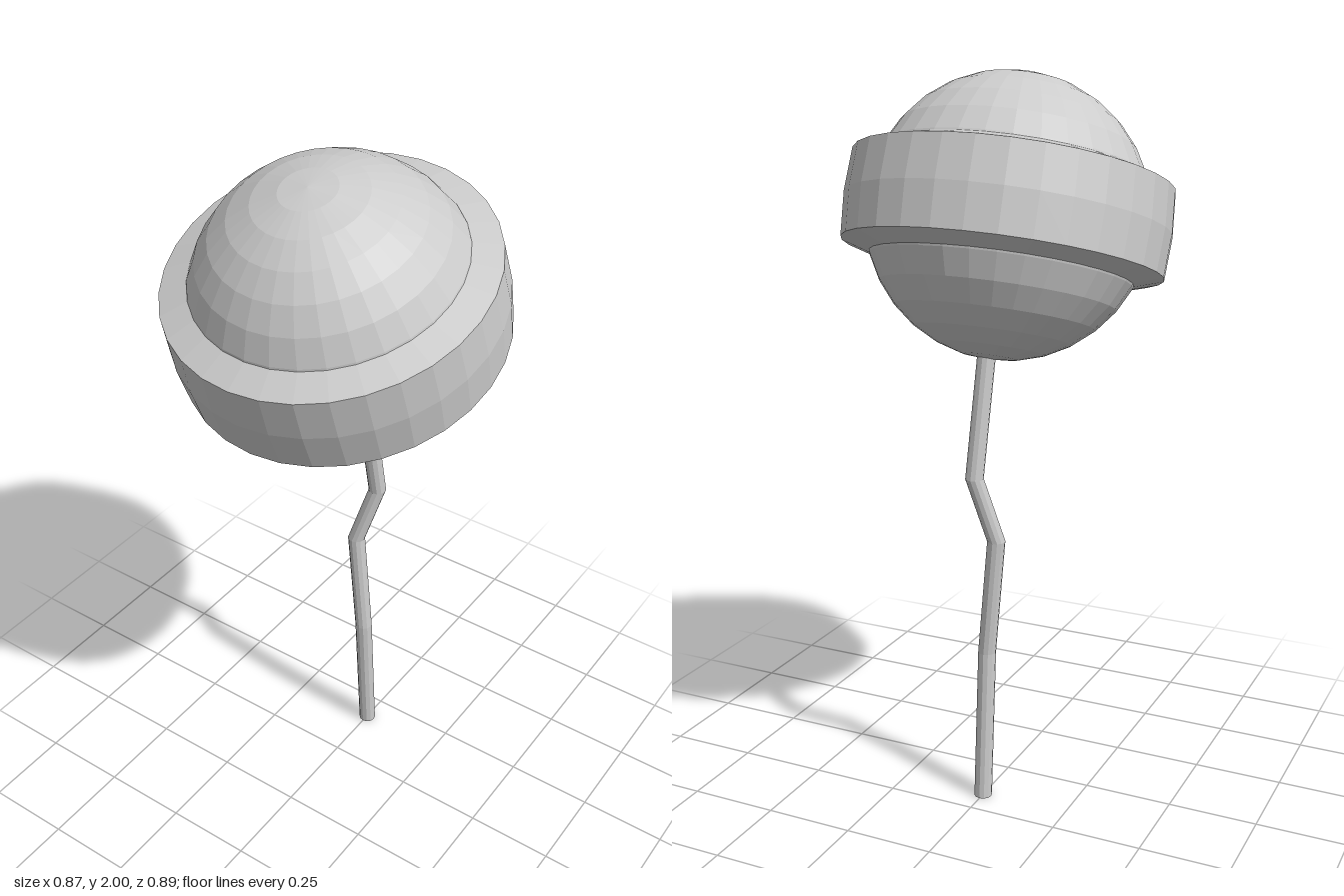
import * as THREE from 'three';

const material = new THREE.MeshStandardMaterial({ color: 0xcccccc, flatShading: true });

function part(name, geometry) {
  const mesh = new THREE.Mesh(geometry, material);
  mesh.name = name;
  return mesh;
}

// Stick: a cylinder whose rings are moved onto a crooked path
function stickGeometry() {
  const path = [
    [0, 0, -0.17], [0, 0.43, -0.14], [-0.028, 0.76, -0.138],
    [0.022, 0.94, -0.168], [0.008, 1.3, -0.112],
  ];
  const rows = path.length - 1;
  const geometry = new THREE.CylinderGeometry(0.025, 0.025, rows, 12, rows);
  const pos = geometry.attributes.position;
  for (let i = 0; i < pos.count; i++) {
    const [x, y, z] = path[Math.round(pos.getY(i) + rows / 2)];
    pos.setXYZ(i, pos.getX(i) + x, y, pos.getZ(i) + z);
  }
  geometry.computeVertexNormals();
  return geometry;
}

export function createModel() {
  const model = new THREE.Group();
  model.name = 'lollipop';

  // Candy head, tilted towards the front
  const head = new THREE.Group();
  head.name = 'head';
  head.position.y = 1.62;
  head.rotation.x = THREE.MathUtils.degToRad(18.5);
  head.add(part('candyBall', new THREE.SphereGeometry(0.38, 32, 16)));

  // Band around the ball, slightly bulged with sloping rims
  const profile = [
    [0.33, -0.147], [0.43, -0.116], [0.437, 0], [0.43, 0.116], [0.33, 0.147],
  ].map(([r, y]) => new THREE.Vector2(r, y));
  head.add(part('band', new THREE.LatheGeometry(profile, 32)));

  model.add(head, part('stick', stickGeometry()));
  return model;
}
